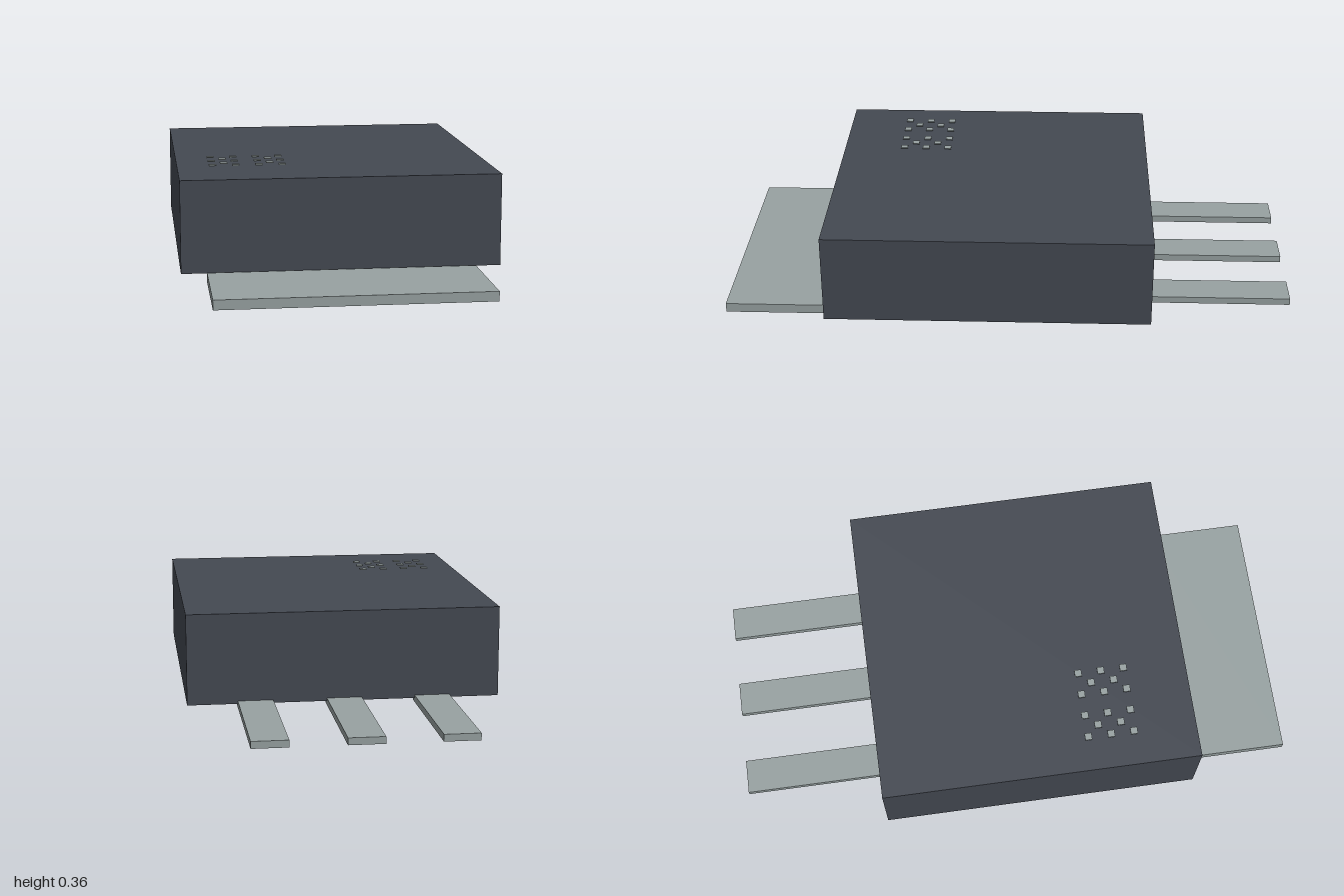
import * as THREE from 'three';

export function createModel() {
  const model = new THREE.Group();
  model.name = 'powerComponent';

  const casing = new THREE.MeshStandardMaterial({ color: 0x444952 });
  casing.name = 'dark casing';
  const metal = new THREE.MeshStandardMaterial({ color: 0x98a2a2 });
  metal.name = 'tinned metal';

  // Box given by its minimum and maximum corners
  function box(name, material, [x0, y0, z0], [x1, y1, z1], parent = model) {
    const mesh = new THREE.Mesh(new THREE.BoxGeometry(x1 - x0, y1 - y0, z1 - z0), material);
    mesh.position.set((x0 + x1) / 2, (y0 + y1) / 2, (z0 + z1) / 2);
    mesh.name = name;
    parent.add(mesh);
  }

  // Moulded body and the mounting tab in front of it
  box('body', casing, [-0.541, 0.03, -0.5], [0.541, 0.345, 0.64]);
  box('mountingTab', metal, [-0.455, 0, 0.648], [0.455, 0.033, 1]);

  // Three flat leads at the back, tucked slightly under the body
  [-0.307, 0, 0.307].forEach((x, i) => {
    box(`lead${i + 1}`, metal, [x - 0.061, 0.016, -1], [x + 0.061, 0.04, -0.47]);
  });

  // Plain chequered dot marking on the top, in two small patches
  const marking = new THREE.Group();
  marking.name = 'dotMarking';
  model.add(marking);
  const half = 0.0125;
  for (const startX of [-0.42, -0.26]) {
    for (let row = 0; row < 5; row++) {
      for (let col = 0; col < 3; col++) {
        if ((row + col) % 2) continue;
        const x = startX + col * 0.04;
        const z = 0.25 + row * 0.041;
        box('dot', metal, [x - half, 0.353, z - half], [x + half, 0.357, z + half], marking);
      }
    }
  }

  return model;
}
